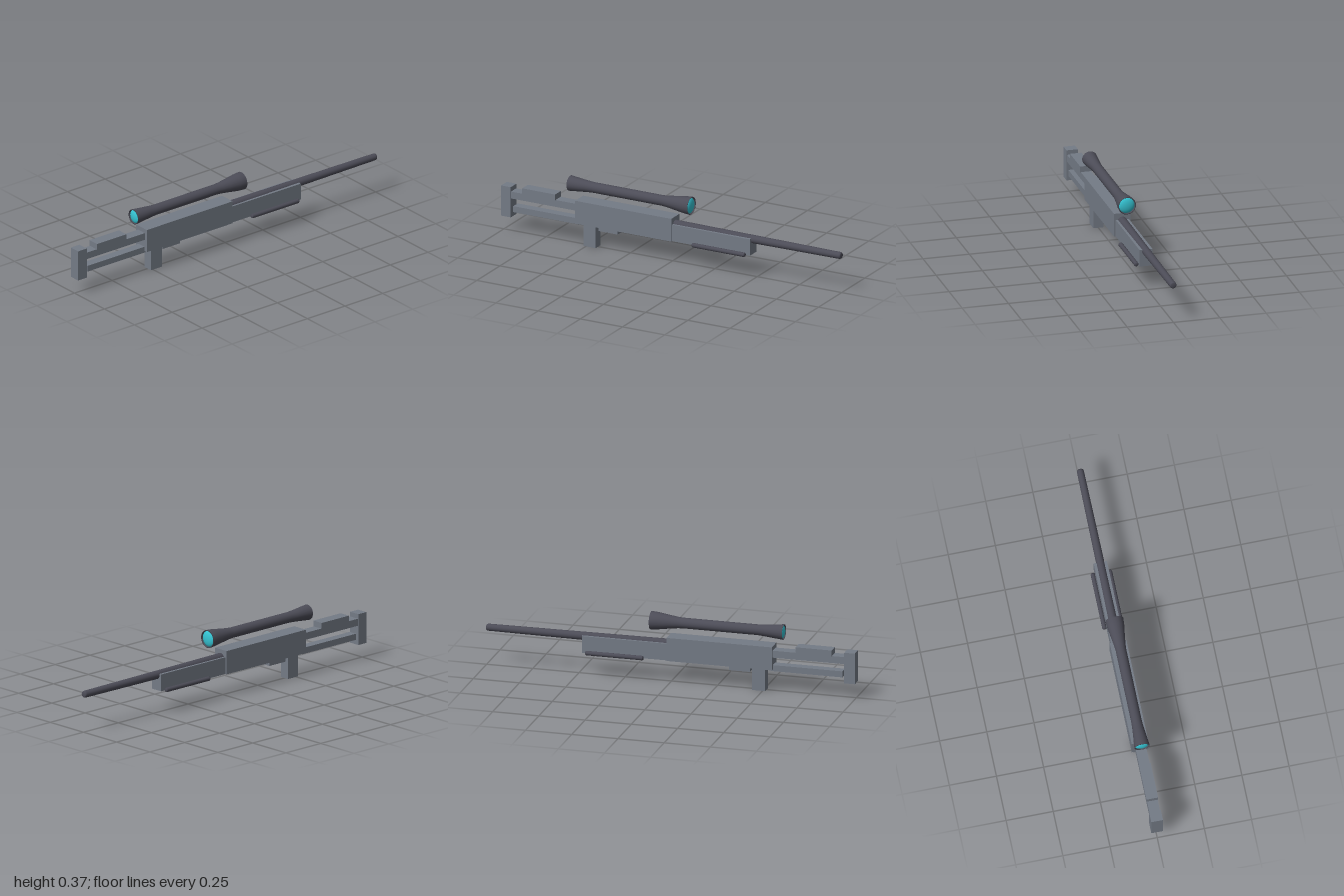
import * as THREE from 'three';

const material = (name, color, side = THREE.FrontSide) => {
  const m = new THREE.MeshStandardMaterial({ color, side });
  m.name = name;
  return m;
};

export function createModel() {
  const model = new THREE.Group();
  const grey = material('steel grey', 0x747b86);
  const dark = material('gunmetal', 0x4c4c57);
  const cyan = material('lens cyan', 0x35c3d2);

  const add = (name, geometry, mat) => {
    const mesh = new THREE.Mesh(geometry, mat);
    mesh.name = name;
    model.add(mesh);
    return mesh;
  };

  // Box given by half width, then y and z ranges
  const box = (name, halfWidth, y0, y1, z0, z1) => {
    const mesh = add(name, new THREE.BoxGeometry(halfWidth * 2, y1 - y0, z1 - z0), grey);
    mesh.position.set(0, (y0 + y1) / 2, (z0 + z1) / 2);
  };

  // Turned part along z; profile points are [radius, z]
  const turned = (name, profile, mat, x, y, sides = 16) => {
    const points = profile.map(([r, z]) => new THREE.Vector2(r, z));
    const geometry = new THREE.LatheGeometry(points, sides).rotateX(Math.PI / 2);
    const mesh = add(name, geometry, mat);
    mesh.position.set(x, y, 0);
    return mesh;
  };

  // Body and stock
  box('receiver', 0.044, 0.122, 0.248, -0.015, 0.555);
  box('handguard', 0.035, 0.122, 0.213, -0.475, -0.014);
  box('upperStockBeam', 0.028, 0.187, 0.225, 0.55, 0.95);
  box('lowerStockBeam', 0.024, 0.112, 0.145, 0.545, 0.932);
  box('cheekRest', 0.031, 0.222, 0.256, 0.68, 0.875);
  box('buttPlate', 0.031, 0.083, 0.25, 0.943, 1);
  box('grip', 0.027, 0, 0.13, 0.442, 0.514);
  box('triggerBox', 0.02, 0.095, 0.13, 0.316, 0.43);

  // Tapered barrel with a softened muzzle
  turned('barrel', [[0, -1], [0.013, -1], [0.017, -0.996], [0.0185, -0.988],
    [0.025, 0], [0, 0]], dark, 0, 0.204);

  // Rails along the handguard's lower edges
  for (const side of [-1, 1]) {
    turned(side > 0 ? 'leftRail' : 'rightRail', [[0, -0.452], [0.009, -0.452], [0.012, -0.447],
      [0.012, -0.145], [0.009, -0.14], [0, -0.14]], dark, side * 0.045, 0.126, 12);
  }

  // Scope tube, flared at both ends, with recessed mouths
  const scopeY = 0.323;
  turned('scopeTube', [[0.042, -0.098], [0.044, -0.11], [0.048, -0.11], [0.045, -0.07],
    [0.036, -0.01], [0.03, 0.035], [0.028, 0.06], [0.028, 0.47], [0.031, 0.51],
    [0.041, 0.608], [0.037, 0.608], [0.035, 0.596]], dark, 0, scopeY, 18);

  // Domed lenses
  const lens = (name, radius, z, facing) => {
    const dome = new THREE.SphereGeometry(radius, 20, 8, 0, Math.PI * 2, 0, Math.PI / 2);
    dome.scale(1, 0.4, 1).rotateX(facing * Math.PI / 2);
    add(name, dome, cyan).position.set(0, scopeY, z);
  };
  lens('frontLens', 0.037, 0.597, 1);
  lens('rearLens', 0.044, -0.098, -1);

  return model;
}
